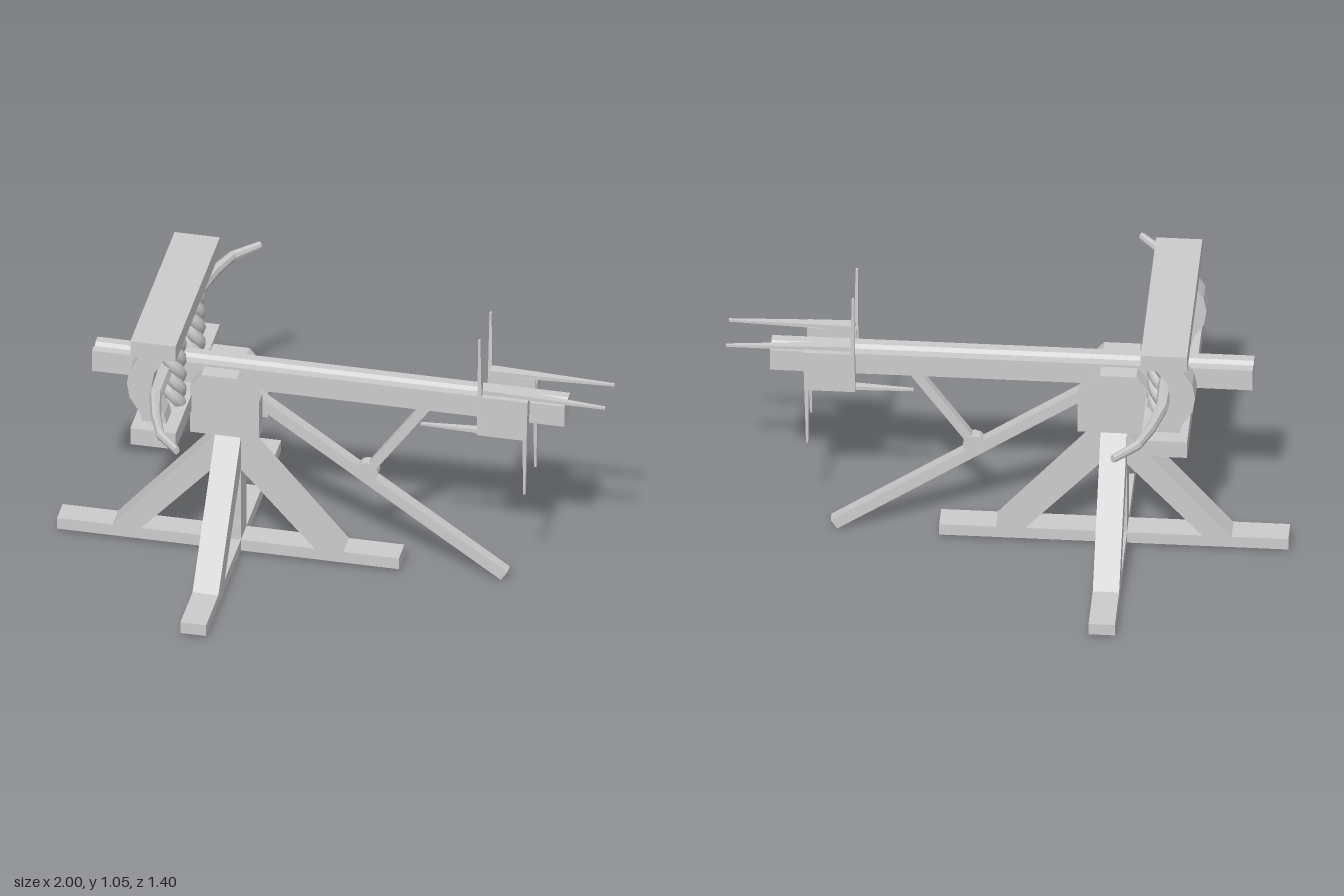
import * as THREE from 'three';

const grey = new THREE.MeshStandardMaterial({ color: 0xcccccc, flatShading: true });
const greyOpen = new THREE.MeshStandardMaterial({ color: 0xcccccc, flatShading: true, side: THREE.DoubleSide });
const smooth = new THREE.MeshStandardMaterial({ color: 0xcccccc });

function add(parent, name, geometry, material = grey) {
  const mesh = new THREE.Mesh(geometry, material);
  mesh.name = name;
  parent.add(mesh);
  return mesh;
}

// Box given by its limits on each axis
function box(x0, x1, y0, y1, z0, z1) {
  return new THREE.BoxGeometry(x1 - x0, y1 - y0, z1 - z0)
    .translate((x0 + x1) / 2, (y0 + y1) / 2, (z0 + z1) / 2);
}

// Side profile in x, y extruded between two z limits
function slab(points, z0, z1) {
  const shape = new THREE.Shape(points.map(([x, y]) => new THREE.Vector2(x, y)));
  return new THREE.ExtrudeGeometry(shape, { depth: z1 - z0, bevelEnabled: false }).translate(0, 0, z0);
}

// Straight bar between two points in a plane of constant z
function bar([x0, y0], [x1, y1], thick, depth) {
  return new THREE.BoxGeometry(Math.hypot(x1 - x0, y1 - y0), thick, depth)
    .rotateZ(Math.atan2(y1 - y0, x1 - x0))
    .translate((x0 + x1) / 2, (y0 + y1) / 2, 0);
}

// Tapered spoke whose tip is thinner and shifted in z
function spoke([x0, y0], [x1, y1], zBase, zTip) {
  const len = Math.hypot(x1 - x0, y1 - y0);
  const g = new THREE.BoxGeometry(len, 0.02, 0.04).translate(len / 2, 0, 0);
  const p = g.attributes.position;
  for (let i = 0; i < p.count; i++) {
    const tip = p.getX(i) > len / 2;
    p.setY(i, p.getY(i) * (tip ? 0.4 : 1));
    p.setZ(i, p.getZ(i) * (tip ? 0.25 : 1) + (tip ? zTip : zBase));
  }
  g.rotateZ(Math.atan2(y1 - y0, x1 - x0)).translate(x0, y0, 0);
  g.computeVertexNormals();
  return g;
}

// Tapered limb: eight-sided rings along a horizontal path, closed at both ends
function limb(path, radii, sides = 8) {
  const pos = [], idx = [], up = new THREE.Vector3(0, 1, 0);
  const last = path.length - 1;
  const ring = (i, r) => {
    const t = path[Math.min(i + 1, last)].clone().sub(path[Math.max(i - 1, 0)]).normalize();
    const n = new THREE.Vector3().crossVectors(up, t);
    for (let k = 0; k < sides; k++) {
      const a = (k / sides) * Math.PI * 2;
      pos.push(...path[i].clone().addScaledVector(n, Math.cos(a) * r * 0.75).addScaledVector(up, Math.sin(a) * r).toArray());
    }
  };
  ring(0, 0);
  path.forEach((_, i) => ring(i, radii[i]));
  ring(last, 0);
  for (let i = 0; i < path.length + 1; i++) {
    for (let k = 0; k < sides; k++) {
      const a = i * sides + k, b = i * sides + (k + 1) % sides;
      idx.push(a, b, b + sides, a, b + sides, a + sides);
    }
  }
  const g = new THREE.BufferGeometry();
  g.setAttribute('position', new THREE.Float32BufferAttribute(pos, 3));
  g.setIndex(idx);
  g.computeVertexNormals();
  return g;
}

class Helix extends THREE.Curve {
  constructor(x, z, y0, y1, radius, phase, turns) {
    super();
    Object.assign(this, { x, z, y0, y1, radius, phase, turns });
  }
  getPoint(t, target = new THREE.Vector3()) {
    const a = this.phase + t * this.turns * Math.PI * 2;
    return target.set(this.x + Math.cos(a) * this.radius, this.y0 + (this.y1 - this.y0) * t, this.z + Math.sin(a) * this.radius);
  }
}

function createStand() {
  const stand = new THREE.Group();
  stand.name = 'stand';
  stand.position.x = -0.38;

  // Crossed feet, open underneath
  for (const turn of [0, Math.PI / 2]) {
    const g = box(-0.622, 0.622, 0.015, 0.06, -0.047, 0.047);
    const index = Array.from(g.index.array);
    index.splice(18, 6);
    g.setIndex(index);
    g.clearGroups();
    add(stand, 'footBeam', g.rotateY(turn), greyOpen);
  }
  add(stand, 'post', box(-0.047, 0.047, 0.06, 0.605, -0.047, 0.047));

  // Four diagonal struts
  for (let i = 0; i < 4; i++) {
    const g = slab([[0.42, 0.06], [0.04, 0.5], [0.04, 0.365], [0.315, 0.06]], -0.047, 0.047);
    add(stand, 'strut', g.rotateY(i * Math.PI / 2));
  }

  // Cheeks holding the rail
  const cheek = [[-0.125, 0.53], [0.125, 0.53], [0.125, 0.685], [0.045, 0.775], [-0.085, 0.775], [-0.125, 0.72]];
  add(stand, 'cheek', slab(cheek, 0.045, 0.105));
  add(stand, 'cheek', slab(cheek, -0.105, -0.045));
  return stand;
}

function createSpringFrame() {
  const frame = new THREE.Group();
  frame.name = 'springFrame';
  add(frame, 'topBoard', box(-0.665, -0.5, 0.99, 1.055, -0.367, 0.367));
  add(frame, 'bottomBoard', box(-0.665, -0.5, 0.62, 0.687, -0.367, 0.367));

  // Curved stanchion profile: bulging edge down, then back up
  const edge = [[-0.635, 0.99], [-0.645, 0.95], [-0.68, 0.895], [-0.69, 0.84], [-0.68, 0.78], [-0.645, 0.725], [-0.635, 0.685]];
  const profile = [...edge, ...edge.map(([x, y]) => [x + 0.09, y]).reverse()];

  for (const s of [1, -1]) {
    add(frame, 'stanchion', slab(profile, s * 0.269 - 0.041, s * 0.269 + 0.041));

    // Twisted rope bundle
    for (let k = 0; k < 4; k++) {
      const path = new Helix(-0.56, s * 0.158, 0.68, 1.0, 0.029, k * Math.PI / 2, 1.25);
      add(frame, 'ropeStrand', new THREE.TubeGeometry(path, 40, 0.025, 8), smooth);
    }

    // Bow arm
    const path = [[-0.575, 0.12], [-0.578, 0.22], [-0.575, 0.36], [-0.545, 0.49], [-0.505, 0.6], [-0.425, 0.69]]
      .map(([x, z]) => new THREE.Vector3(x, 0.829, s * z));
    add(frame, 'bowArm', limb(path, [0.036, 0.035, 0.03, 0.025, 0.021, 0.016]));
  }
  return frame;
}

function createWinch() {
  const winch = new THREE.Group();
  winch.name = 'winch';
  for (const s of [1, -1]) {
    const z = s * 0.077;
    add(winch, 'winchBlock', box(0.545, 0.717, 0.658, 0.82, z - 0.027, z + 0.027));

    // Spokes run along the block edges like a pinwheel
    add(winch, 'spoke', spoke([0.548, 0.66], [0.546, 1.055], s * 0.085, s * 0.093));
    add(winch, 'spoke', spoke([0.55, 0.828], [1.0, 0.82], s * 0.065, s * 0.078));
    add(winch, 'spoke', spoke([0.713, 0.82], [0.709, 0.427], s * 0.085, s * 0.093));
    add(winch, 'spoke', spoke([0.715, 0.66], [0.33, 0.667], s * 0.065, s * 0.085));
  }
  return winch;
}

export function createModel() {
  const model = new THREE.Group();
  model.name = 'ballista';
  model.add(createStand(), createSpringFrame(), createWinch());

  // Rail with a shallow groove along its top
  const section = [[-0.047, 0.7], [0.047, 0.7], [0.047, 0.785], [0.015, 0.785], [0, 0.77], [-0.015, 0.785], [-0.047, 0.785]];
  add(model, 'rail', slab(section, -0.845, 0.875).rotateY(-Math.PI / 2));

  // Trailing prop with its hinged brace
  add(model, 'prop', bar([-0.36, 0.694], [0.619, 0.021], 0.042, 0.042));
  add(model, 'hinge', new THREE.CylinderGeometry(0.04, 0.04, 0.042, 12).rotateX(Math.PI / 2).translate(0.12, 0.39, 0));
  add(model, 'brace', bar([0.12, 0.39], [0.347, 0.71], 0.034, 0.032));
  return model;
}
